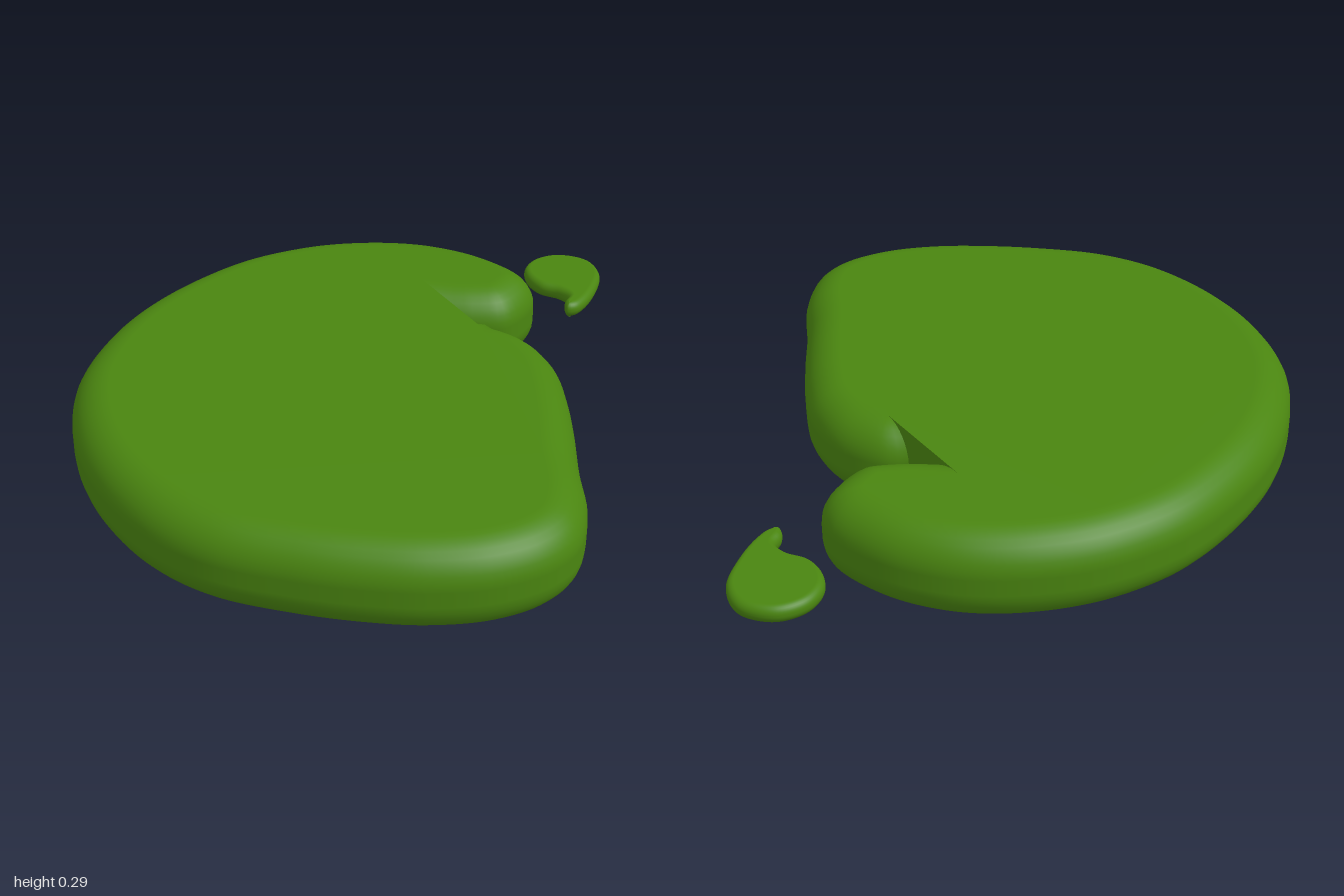
import * as THREE from 'three';

const green = new THREE.MeshStandardMaterial({ color: 0x4a8510 });
green.name = 'leaf green';

// Rounded slab from a plan outline [x, z], listed counter-clockwise seen from above.
// notch: inner (cap level) corner points of an open outline, joined by an upright wall.
function slab(name, outline, { y0, y1, bevel, round, samples, notch }) {
  const curve = new THREE.CatmullRomCurve3(outline.map(([x, z]) => new THREE.Vector3(x, 0, z)), !notch);
  const cols = [];
  for (let i = 0; i <= samples; i++) {
    const u = i / samples, p = curve.getPointAt(u), t = curve.getTangentAt(u);
    const n = new THREE.Vector3(-t.z, 0, t.x);
    const inner = p.clone().addScaledVector(n, -bevel);
    if (notch) {
      const [start, end] = notch;
      if (i === 0) inner.set(start[0], 0, start[1]);
      if (i === samples || (u > 0.9 && inner.x < end[0])) inner.set(end[0], 0, end[1]);
    }
    cols.push({ p, n, inner });
  }

  // Half-round edge profile, bottom to top
  const steps = 8, profile = [];
  for (let half = 0; half < 2; half++) {
    for (let k = 0; k <= steps; k++) {
      const a = (k / steps + half - 1) * Math.PI / 2;
      const base = half ? y1 - round : y0 + round;
      profile.push({ y: base + round * Math.sin(a), out: Math.cos(a), up: Math.sin(a) });
    }
  }
  const pos = [], nor = [], idx = [];
  const add = (x, y, z, n) => { pos.push(x, y, z); nor.push(n.x, n.y, n.z); };
  const grid = (columns, normalOf) => {
    const first = pos.length / 3, w = columns.length;
    profile.forEach(f => columns.forEach(c => {
      const q = c.inner.clone().lerp(c.p, f.out);
      add(q.x, f.y, q.z, normalOf(c, f));
    }));
    for (let j = 0; j < profile.length - 1; j++) {
      for (let i = 0; i < w - 1; i++) {
        const a = first + j * w + i, c = a + w;
        idx.push(a, a + 1, c, a + 1, c + 1, c);
      }
    }
  };
  grid(cols, (c, f) => new THREE.Vector3(c.n.x * f.out, f.up, c.n.z * f.out));

  // Upright wall closing the notch
  if (notch) {
    const a = cols[samples], b = cols[0];
    const t = b.inner.clone().sub(a.inner).normalize();
    grid([a, b], () => new THREE.Vector3(-t.z, 0, t.x));
  }

  // Flat top and bottom
  const ring = (notch ? cols : cols.slice(0, -1)).map(c => c.inner);
  const faces = THREE.ShapeUtils.triangulateShape(ring.map(q => new THREE.Vector2(q.x, -q.z)), []);
  for (const [y, up] of [[y1, 1], [y0, -1]]) {
    const first = pos.length / 3;
    ring.forEach(q => add(q.x, y, q.z, new THREE.Vector3(0, up, 0)));
    faces.forEach(([a, b, c]) => idx.push(first + a, first + (up > 0 ? b : c), first + (up > 0 ? c : b)));
  }

  const geo = new THREE.BufferGeometry();
  geo.setAttribute('position', new THREE.Float32BufferAttribute(pos, 3));
  geo.setAttribute('normal', new THREE.Float32BufferAttribute(nor, 3));
  geo.setIndex(idx);
  const mesh = new THREE.Mesh(geo, green);
  mesh.name = name;
  return mesh;
}

export function createModel() {
  const group = new THREE.Group();
  group.name = 'notchedSlabWithDroplet';

  // Large rounded body with a notch on its left side
  group.add(slab('body', [
    [0.30, -0.43], [0.40, -0.425], [0.50, -0.44], [0.57, -0.51], [0.61, -0.60], [0.59, -0.68],
    [0.51, -0.77], [0.40, -0.85], [0.25, -0.91], [0.08, -0.93], [-0.11, -0.91], [-0.26, -0.86],
    [-0.42, -0.77], [-0.58, -0.62], [-0.71, -0.45], [-0.80, -0.27], [-0.855, -0.08], [-0.87, 0.06],
    [-0.85, 0.24], [-0.79, 0.43], [-0.69, 0.61], [-0.55, 0.77], [-0.38, 0.88], [-0.15, 0.95],
    [0.05, 0.985], [0.22, 0.995], [0.40, 0.97], [0.55, 0.90], [0.64, 0.80], [0.677, 0.65],
    [0.672, 0.45], [0.675, 0.25], [0.67, 0.07], [0.65, -0.08], [0.59, -0.21], [0.52, -0.28],
    [0.43, -0.328], [0.355, -0.335],
  ], { y0: 0, y1: 0.29, bevel: 0.12, round: 0.12, samples: 200, notch: [[0.22, -0.57], [0.41, -0.24]] }));

  // Small thin droplet beside the back of the body
  group.add(slab('droplet', [
    [0.73, -1.0], [0.643, -0.968], [0.60, -0.90], [0.605, -0.83], [0.643, -0.77], [0.705, -0.735],
    [0.737, -0.69], [0.722, -0.65], [0.727, -0.614], [0.76, -0.62], [0.795, -0.66], [0.84, -0.757],
    [0.865, -0.87], [0.83, -0.96],
  ], { y0: 0.117, y1: 0.175, bevel: 0.022, round: 0.028, samples: 100 }));

  return group;
}
